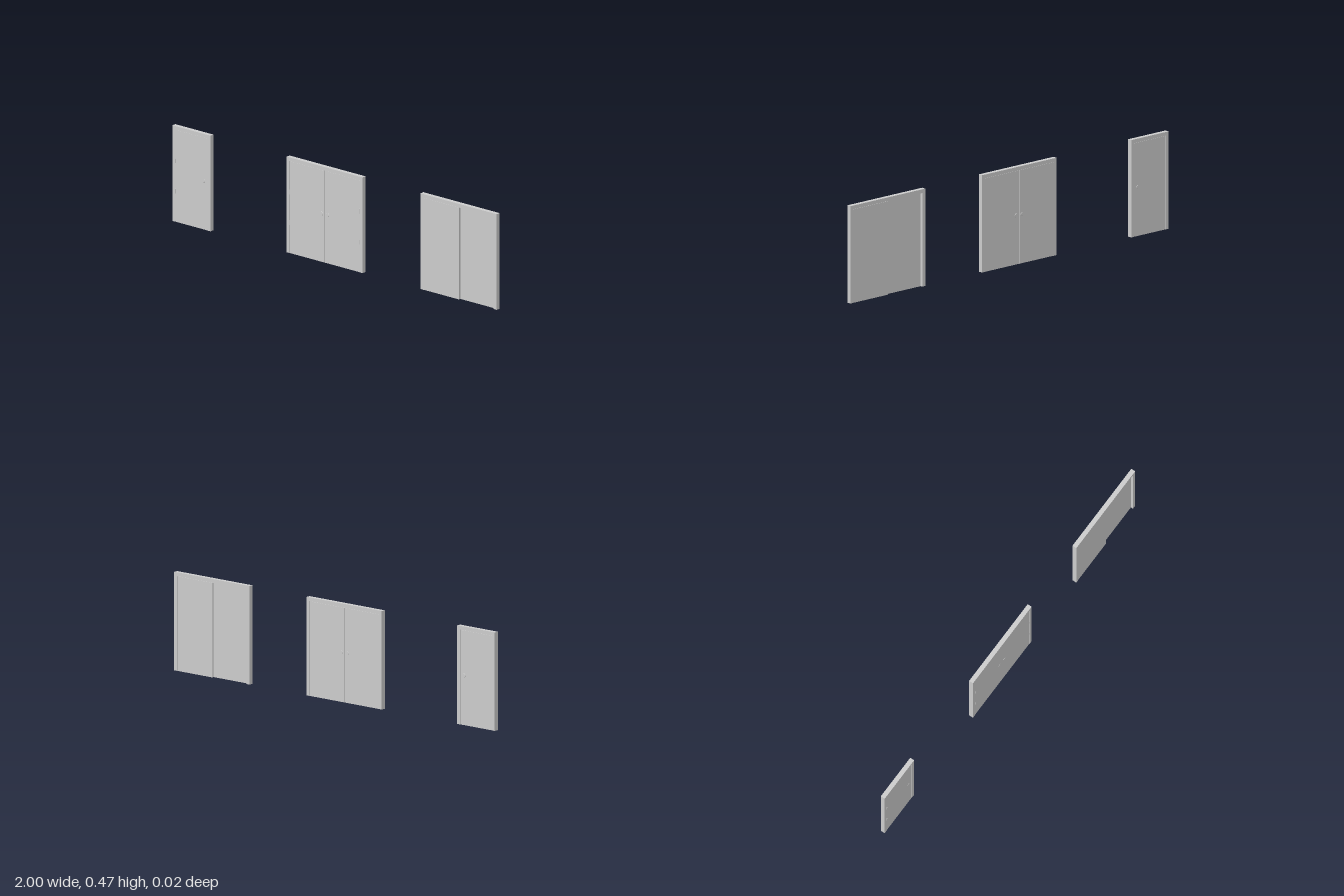
import * as THREE from 'three';

const H = 0.47;      // overall height
const D = 0.022;     // frame depth
const J = 0.018;     // frame member width
const GAP = 0.001;   // clearance around each leaf
const LEAF = 0.0195; // hinged leaf thickness
const TOP = H - J;   // top of opening

const material = new THREE.MeshStandardMaterial({ color: 0xcccccc });

function add(parent, name, geometry, x, y, z) {
  const mesh = new THREE.Mesh(geometry, material);
  mesh.name = name;
  mesh.position.set(x, y, z);
  parent.add(mesh);
  return mesh;
}

// Three-sided frame: two jambs and a head in one extrusion
function addFrame(parent, x0, x1) {
  const shape = new THREE.Shape();
  [[x0, 0], [x0 + J, 0], [x0 + J, TOP], [x1 - J, TOP], [x1 - J, 0], [x1, 0], [x1, H], [x0, H]]
    .forEach(([x, y], i) => (i ? shape.lineTo(x, y) : shape.moveTo(x, y)));
  const geometry = new THREE.ExtrudeGeometry(shape, { depth: D, bevelEnabled: false });
  add(parent, 'frame', geometry, 0, 0, -D / 2);
}

// Flat leaf between two x positions, standing on the floor
function addLeaf(parent, name, x0, x1, depth, z) {
  const height = TOP - GAP;
  add(parent, name, new THREE.BoxGeometry(x1 - x0, height, depth), (x0 + x1) / 2, height / 2, z);
}

// Shallow round knob on both faces
function addKnobs(parent, x) {
  for (const side of [1, -1]) {
    const knob = add(parent, side > 0 ? 'frontKnob' : 'backKnob',
      new THREE.CylinderGeometry(0.008, 0.009, 0.0014, 20), x, 0.237, side * (LEAF / 2 + 0.0006));
    knob.rotation.x = side * Math.PI / 2;
  }
}

// Pair of hinge barrels on the front edge
function addHinges(parent, x) {
  for (const y of [0.15, 0.3]) {
    add(parent, 'hinge', new THREE.CylinderGeometry(0.0025, 0.0025, 0.024, 12), x, y, 0.01);
  }
}

function singleDoor(x0, x1) {
  const door = new THREE.Group();
  door.name = 'singleDoor';
  addFrame(door, x0, x1);
  addLeaf(door, 'leaf', x0 + J + GAP, x1 - J - GAP, LEAF, 0);
  addKnobs(door, x1 - J - 0.025);
  addHinges(door, x0 + J);
  return door;
}

function doubleDoor(x0, x1) {
  const door = new THREE.Group();
  door.name = 'doubleDoor';
  const mid = (x0 + x1) / 2;
  addFrame(door, x0, x1);
  addLeaf(door, 'rightLeaf', x0 + J + GAP, mid - GAP, LEAF, 0);
  addLeaf(door, 'leftLeaf', mid + GAP, x1 - J - GAP, LEAF, 0);
  for (const side of [-1, 1]) addKnobs(door, mid + side * 0.0185);
  addHinges(door, x0 + J);
  addHinges(door, x1 - J);
  return door;
}

// Two leaves on parallel tracks, slightly overlapping at the middle
function slidingDoor(x0, x1) {
  const door = new THREE.Group();
  door.name = 'slidingDoor';
  const mid = (x0 + x1) / 2;
  addFrame(door, x0, x1);
  addLeaf(door, 'frontLeaf', x0 + J + GAP, mid + 0.002, 0.0095, 0.0052);
  addLeaf(door, 'rearLeaf', mid - 0.002, x1 - J - GAP, 0.0095, -0.0052);
  return door;
}

export function createModel() {
  const model = new THREE.Group();
  model.name = 'doorSet';
  model.add(singleDoor(-1, -0.765), doubleDoor(-0.295, 0.173), slidingDoor(0.53, 1));
  return model;
}
